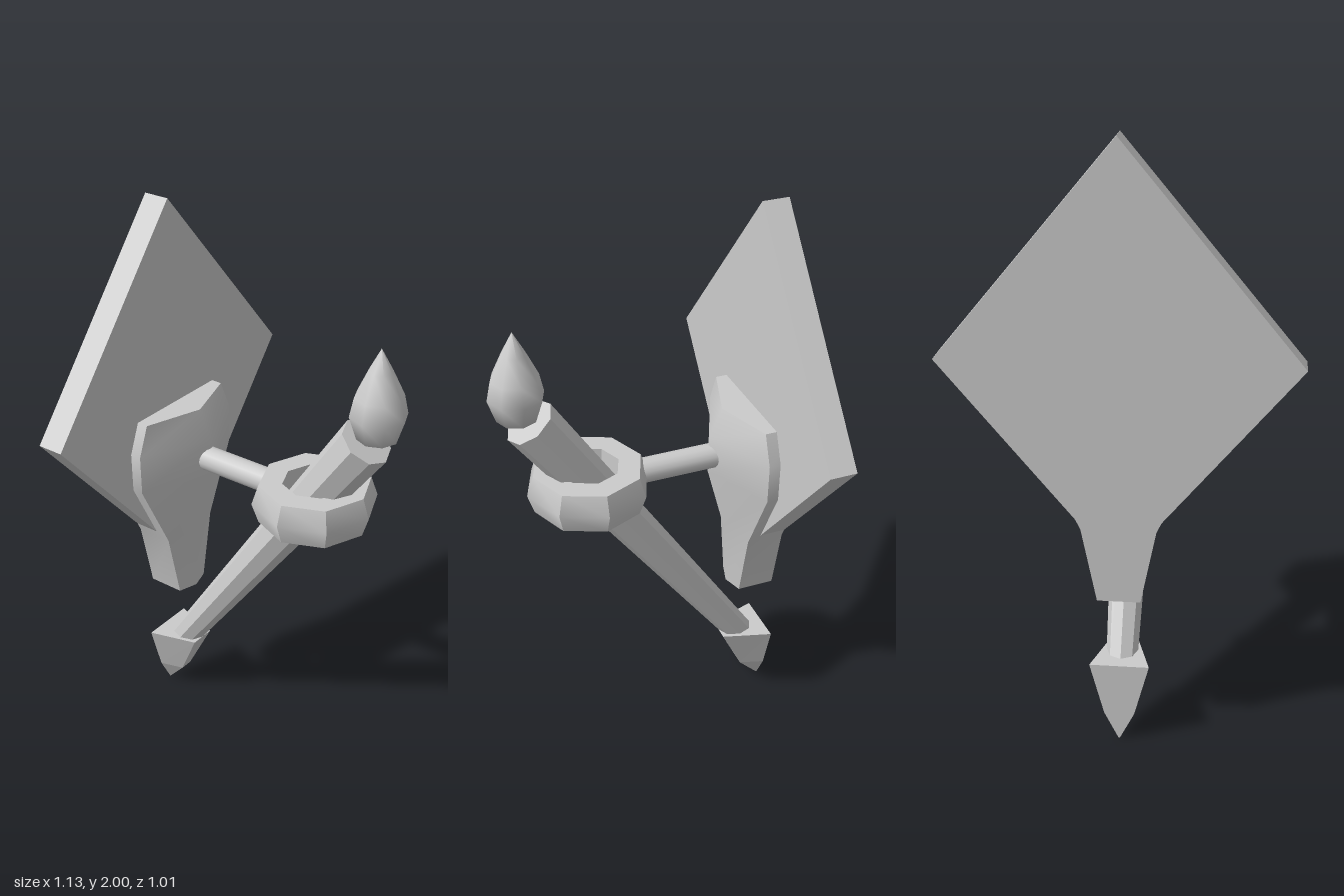
import * as THREE from 'three';
import { toCreasedNormals } from 'three/addons/utils/BufferGeometryUtils.js';

const smooth = new THREE.MeshStandardMaterial({ color: 0xcccccc });
const faceted = new THREE.MeshStandardMaterial({ color: 0xcccccc, flatShading: true });

// Skin closed rings (bottom to top, counterclockwise from above) and cap both ends.
function loft(rings) {
  const n = rings[0].length, last = (rings.length - 1) * n, index = [];
  for (let r = 0; r < rings.length - 1; r++) {
    for (let i = 0; i < n; i++) {
      const a = r * n + i, b = r * n + (i + 1) % n;
      index.push(a, b, b + n, a, b + n, a + n);
    }
  }
  for (let i = 1; i < n - 1; i++) {
    index.push(0, i + 1, i);
    index.push(last, last + i, last + i + 1);
  }
  const geometry = new THREE.BufferGeometry();
  geometry.setAttribute('position', new THREE.Float32BufferAttribute(rings.flat(2), 3));
  geometry.setIndex(index);
  return geometry;
}

const profile = (points) => points.map(([r, y]) => new THREE.Vector2(r, y));

export function createModel() {
  const model = new THREE.Group();
  model.name = 'wallTorch';
  const add = (name, geometry, material, x = 0, y = 0, z = 0) => {
    const mesh = new THREE.Mesh(geometry, material);
    mesh.name = name;
    mesh.position.set(x, y, z);
    model.add(mesh);
    return mesh;
  };
  const back = -0.505;

  // Diamond board against the wall
  const diamond = new THREE.Shape(profile([[0, 2], [-0.565, 1.32], [0, 0.64], [0.565, 1.32]]));
  add('backBoard', new THREE.ExtrudeGeometry(diamond, { depth: 0.093, bevelEnabled: false }),
    faceted, 0, 0, back);

  // Ridged bracket: height, half width, ridge z
  const bracket = [
    [0.52, 0.07, -0.35], [0.77, 0.12, -0.332], [1.03, 0.243, -0.26],
    [1.17, 0.243, -0.26], [1.275, 0.2, -0.305],
  ].map(([y, w, ridge]) => [
    [w, y, -0.372], [w, y, back], [-w, y, back], [-w, y, -0.372], [0, y, ridge],
  ]);
  add('bracket', toCreasedNormals(loft(bracket), 0.95), smooth);

  // Arm from the bracket to the ring
  const arm = new THREE.CylinderGeometry(0.044, 0.044, 0.31, 16).rotateX(Math.PI / 2);
  add('arm', arm, smooth, 0, 1.093, -0.125);

  // Eight-sided holding ring
  const ring = new THREE.LatheGeometry(profile([
    [0.11, -0.07], [0.19, -0.07], [0.213, 0], [0.19, 0.07], [0.11, 0.07], [0.11, -0.07],
  ]), 8);
  add('ring', toCreasedNormals(ring, 0.7), smooth, 0, 1.09, 0.18);

  // Tapered shaft leaning forward
  const foot = new THREE.Vector3(0, 0.25, -0.417), head = new THREE.Vector3(0, 1.375, 0.372);
  const axis = head.clone().sub(foot);
  const shaft = add('shaft', new THREE.CylinderGeometry(0.09, 0.052, axis.length(), 8), faceted);
  shaft.position.copy(foot).lerp(head, 0.5);
  shaft.rotation.x = Math.atan2(axis.z, axis.y);

  // Pointed foot: height, back half width, front half width, front z
  const spike = [
    [0.004, 0.002, 0.001, -0.503], [0.1, 0.05, 0.024, -0.418], [0.28, 0.098, 0.047, -0.33],
  ].map(([y, b, f, z]) => [[f, y, z], [b, y, back], [-b, y, back], [-f, y, z]]);
  add('spike', loft(spike).toNonIndexed(), faceted).geometry.computeVertexNormals();

  // Flame
  const flame = new THREE.LatheGeometry(profile([
    [0, 1.38], [0.068, 1.4], [0.094, 1.48], [0.08, 1.545], [0.04, 1.63], [0, 1.705],
  ]), 8);
  add('flame', flame, smooth, 0, 0, 0.411);

  return model;
}
